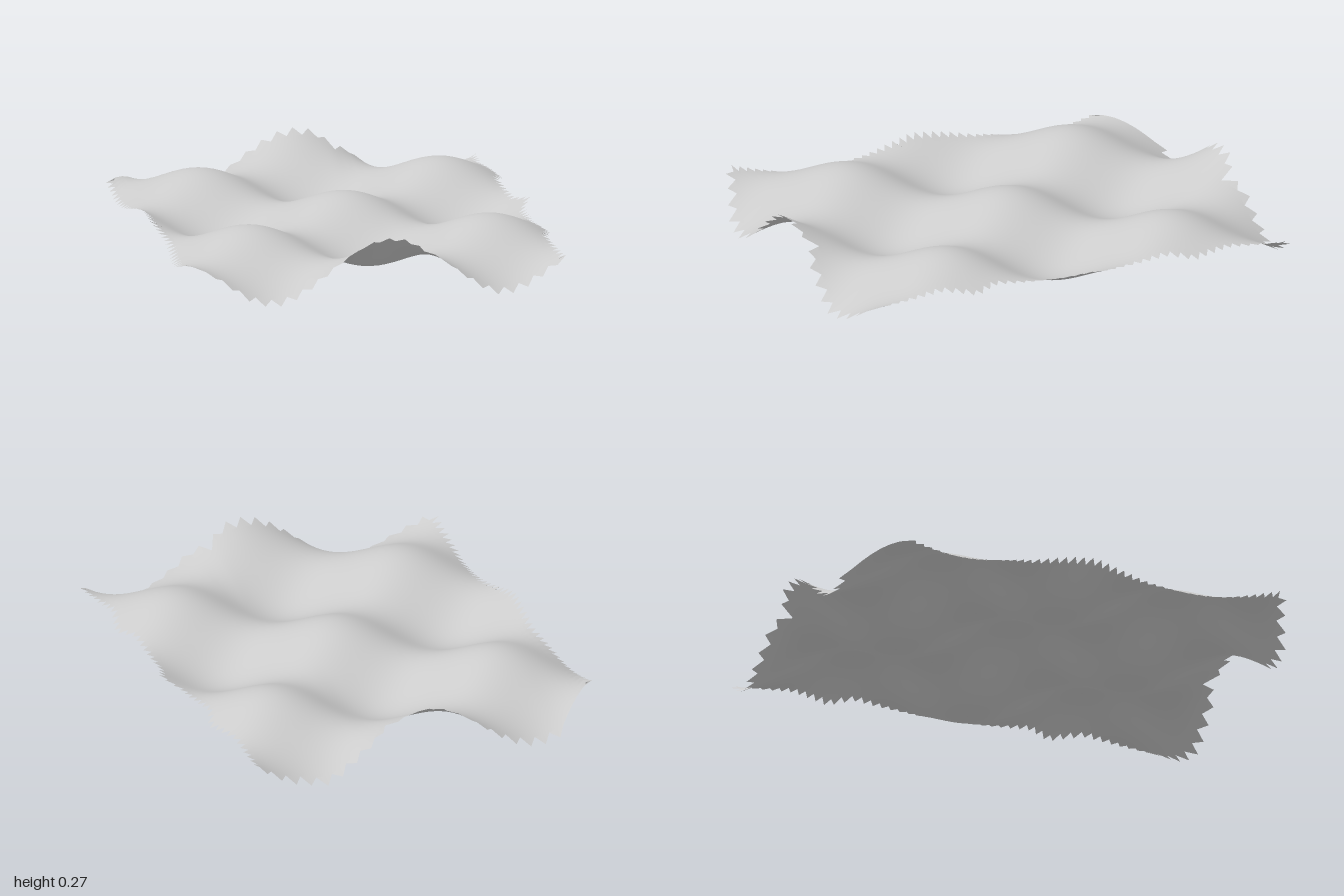
import * as THREE from 'three';

const HALF = 0.505;      // distance between two level lines of the wave
const COLS = 48, ROWS = 92;

// Piecewise-linear profile through [position, value] points
function profile(points, t) {
  if (t <= points[0][0]) return points[0][1];
  for (let i = 1; i < points.length; i++) {
    const [t0, v0] = points[i - 1], [t1, v1] = points[i];
    if (t <= t1) return THREE.MathUtils.lerp(v0, v1, (t - t0) / (t1 - t0));
  }
  return points[points.length - 1][1];
}

// Outline of the torn sheet: x of the sides by z, z of the ends by x
const leftSide = [[-0.96, -0.8], [-0.7, -0.8], [-0.5, -0.79], [-0.3, -0.77], [0, -0.8],
  [0.3, -0.77], [0.5, -0.785], [0.7, -0.8], [0.96, -0.8]];
const rightSide = [[-0.96, 0.765], [-0.7, 0.75], [-0.51, 0.79], [-0.4, 0.75], [-0.13, 0.765],
  [-0.03, 0.81], [0.08, 0.765], [0.39, 0.75], [0.5, 0.79], [0.65, 0.745], [0.96, 0.765]];
const backEnd = [[-0.8, -0.76], [-0.58, -0.965], [0.12, -0.965], [0.18, -0.92], [0.24, -0.965],
  [0.46, -0.98], [0.55, -0.95], [0.77, -0.95]];
const frontEnd = [[-0.8, 0.88], [-0.7, 0.91], [-0.58, 0.96], [-0.45, 0.975], [0.12, 0.965],
  [0.18, 0.92], [0.24, 0.965], [0.46, 0.975], [0.6, 0.945], [0.77, 0.9]];

// Cosine wave that runs on straight past its outer level lines
function wave(t) {
  const end = 1.5 * HALF, a = Math.abs(t);
  return a < end ? Math.cos(Math.PI * a / HALF) : (a - end) * Math.PI / HALF;
}

function sheetGeometry() {
  const geo = new THREE.PlaneGeometry(1, 1, COLS, ROWS);
  const pos = geo.attributes.position;
  for (let j = 0; j <= ROWS; j++) {
    for (let i = 0; i <= COLS; i++) {
      const u = i / COLS, v = j / ROWS;
      const zRow = THREE.MathUtils.lerp(-0.96, 0.96, v);
      let x = THREE.MathUtils.lerp(profile(leftSide, zRow), profile(rightSide, zRow), u);
      let z = THREE.MathUtils.lerp(profile(backEnd, x), profile(frontEnd, x), v);
      // ragged teeth on the border
      const sideTooth = j % 2 ? 0.018 : -0.018, endTooth = i % 2 ? 0.02 : -0.02;
      if (i === 0) x -= sideTooth;
      if (i === COLS) x += sideTooth * 0.8;
      if (j === 0 && x > -0.58) z -= endTooth;
      if (j === ROWS) z += endTooth;
      const y = 0.093 * wave(x - 0.025) * wave(z);
      pos.setXYZ(j * (COLS + 1) + i, x, y, z);
    }
  }
  geo.computeBoundingBox();
  geo.translate(0, -geo.boundingBox.min.y, 0);
  geo.computeVertexNormals();
  return geo;
}

export function createModel() {
  const group = new THREE.Group();
  group.name = 'wavySurface';
  const sheet = new THREE.Mesh(
    sheetGeometry(),
    new THREE.MeshStandardMaterial({ color: 0xcccccc, side: THREE.DoubleSide })
  );
  sheet.name = 'waveSheet';
  group.add(sheet);
  return group;
}
